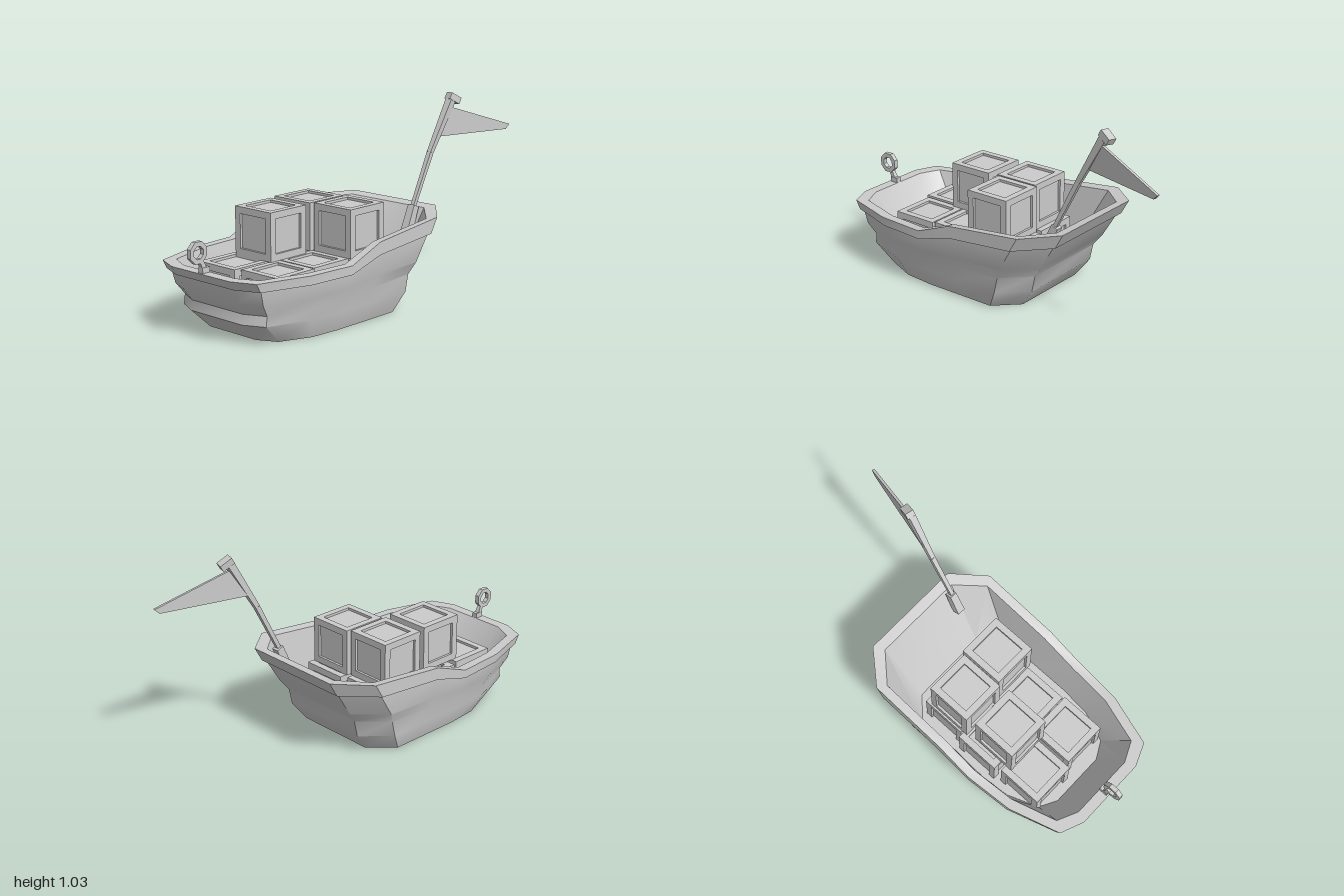
import * as THREE from 'three';
import { toCreasedNormals } from 'three/addons/utils/BufferGeometryUtils.js';

const V = (x, y, z) => new THREE.Vector3(x, y, z);
const material = new THREE.MeshStandardMaterial({ color: 0xcccccc });
const flat = new THREE.MeshStandardMaterial({ color: 0xcccccc, flatShading: true });

function add(parent, name, geometry, mat = flat) {
  const mesh = new THREE.Mesh(geometry, mat);
  mesh.name = name;
  parent.add(mesh);
  return mesh;
}

// One horizontal outline of the hull: half of it, then its mirror image
function outline({ w, back, front, yFront, yBack }) {
  const half = [
    [0.66, back, 1], [1, back + 0.165 * (w / 0.42) ** 1.5, 0.9], [1, 0.16, 0.56], [1, 0.36, 0],
    [0.955, 0.36 + 0.45 * (front - 0.36), 0], [0.76, front - 0.05, 0], [0.47, front, 0],
  ].map(([fx, z, t]) => [fx * w, yFront + (yBack - yFront) * t, z]);
  return [...half, ...half.slice().reverse().map(([x, y, z]) => [-x, y, z])];
}

// Outer skin from keel to gunwale, then back down inside to the floor
function hullGeometry() {
  const rings = [
    [0.335, -0.15, 0.74, 0, 0],
    [0.37, -0.225, 0.845, 0.1, 0.1],
    [0.37, -0.245, 0.838, 0.15, 0.19],
    [0.395, -0.29, 0.88, 0.21, 0.25],
    [0.402, -0.375, 0.9, 0.285, 0.39],
    [0.42, -0.39, 0.915, 0.285, 0.39],
    [0.42, -0.435, 0.94, 0.33, 0.47],
    [0.372, -0.38, 0.885, 0.33, 0.46],
    [0.32, -0.17, 0.74, 0.1, 0.1],
  ].map(([w, back, front, yFront, yBack]) => outline({ w, back, front, yFront, yBack }));
  const n = rings[0].length, last = rings.length - 1;
  const positions = rings.flat(2), index = [];
  const bottom = n * rings.length, floor = bottom + 1;
  positions.push(0, 0, 0.3, 0, 0.1, 0.3);
  for (let i = 0; i < n; i++) {
    const j = (i + 1) % n;
    for (let l = 0; l < last; l++) {
      const a = l * n + i, b = l * n + j;
      index.push(a, a + n, b, b, a + n, b + n);
    }
    index.push(bottom, i, j, floor, last * n + j, last * n + i);
  }
  const g = new THREE.BufferGeometry();
  g.setAttribute('position', new THREE.Float32BufferAttribute(positions, 3));
  g.setIndex(index);
  return toCreasedNormals(g, 0.7);
}

// Crate: recessed core inside two square frames and four posts
const SIZE = 0.245, BAR = 0.035;
function crate(x, y, z) {
  const g = new THREE.Group();
  g.name = 'crate';
  const core = SIZE - 0.026, h = SIZE / 2, k = h - BAR;
  add(g, 'cratePanels', new THREE.BoxGeometry(core, core, core));
  const square = (r, Type) => new Type([[-r, -r], [r, -r], [r, r], [-r, r]].map(p => new THREE.Vector2(...p)));
  const shape = square(h, THREE.Shape);
  shape.holes.push(square(k, THREE.Path));
  const frame = new THREE.ExtrudeGeometry(shape, { depth: BAR, bevelEnabled: false }).rotateX(-Math.PI / 2);
  for (const fy of [-h, k]) add(g, 'crateFrame', frame).position.y = fy;
  const post = new THREE.BoxGeometry(BAR, 2 * k, BAR), c = h - BAR / 2;
  for (const sx of [-c, c]) for (const sz of [-c, c]) add(g, 'cratePost', post).position.set(sx, 0, sz);
  g.position.set(x, y, z);
  return g;
}

// Tapered square bar between two points
function strut(parent, name, a, b, wa, wb) {
  const dir = b.clone().sub(a);
  const g = new THREE.CylinderGeometry(wb * Math.SQRT1_2, wa * Math.SQRT1_2, dir.length(), 4).rotateY(Math.PI / 4);
  const mesh = add(parent, name, g);
  mesh.quaternion.setFromUnitVectors(V(0, 1, 0), dir.normalize());
  mesh.position.copy(a).add(b).multiplyScalar(0.5);
  return mesh;
}

// Leaning pole with its foot, cap and pennant
function flagPole() {
  const g = new THREE.Group();
  g.name = 'flagPole';
  const foot = V(0.207, 0.44, -0.325), mid = V(0.207, 0.73, -0.472), top = V(0.219, 0.99, -0.622);
  strut(g, 'poleFoot', V(0.205, 0.34, -0.29), V(0.205, 0.472, -0.345), 0.045, 0.04);
  strut(g, 'poleLower', foot, mid, 0.02, 0.025);
  strut(g, 'poleUpper', mid, top, 0.025, 0.038);
  const cap = add(g, 'poleCap', new THREE.BoxGeometry(0.045, 0.035, 0.068).rotateY(-0.26));
  cap.quaternion.setFromUnitVectors(V(0, 1, 0), top.clone().sub(mid).normalize());
  cap.position.set(0.221, 0.995, -0.638);
  // Pennant drawn in (distance aft, height), then turned to stream backwards
  const shape = new THREE.Shape([[-0.035, 0.805], [0.43, 0.805], [0.455, 0.83], [0.09, 0.945], [0.055, 0.955]]
    .map(p => new THREE.Vector2(...p)));
  const geo = new THREE.ExtrudeGeometry(shape, { depth: 0.014, bevelEnabled: false }).translate(0, 0, -0.007);
  const flag = add(g, 'pennant', geo);
  flag.rotation.y = Math.PI / 2 - 0.26;
  flag.position.set(0.208, 0, -0.55);
  return g;
}

// Eight-sided mooring ring on a short stem at the bow
function mooringRing() {
  const g = new THREE.Group();
  g.name = 'mooringRing';
  const octagon = (r, Type) => new Type(Array.from({ length: 8 }, (_, i) => {
    const a = (i + 0.5) * Math.PI / 4;
    return new THREE.Vector2(r * Math.cos(a), r * 1.04 * Math.sin(a));
  }));
  const shape = octagon(0.054, THREE.Shape);
  shape.holes.push(octagon(0.031, THREE.Path));
  const ring = add(g, 'ring', new THREE.ExtrudeGeometry(shape, { depth: 0.024, bevelEnabled: false }).translate(0, 0, -0.012));
  ring.rotation.set(0.15, Math.PI / 2, 0, 'YXZ');
  ring.rotation.set(0, Math.PI / 2, 0);
  ring.position.set(-0.005, 0.432, 0.951);
  strut(g, 'ringStem', V(-0.005, 0.335, 0.908), V(-0.005, 0.39, 0.932), 0.026, 0.02);
  add(g, 'ringBase', new THREE.BoxGeometry(0.028, 0.03, 0.045)).position.set(-0.005, 0.342, 0.908);
  return g;
}

export function createModel() {
  const model = new THREE.Group();
  model.name = 'cargoBoat';
  add(model, 'hull', hullGeometry(), material);

  // Lower layer of six crates, upper layer of three
  const lower = [[-0.15, 0.575], [0.115, 0.55], [0.105, 0.298], [-0.167, 0.298], [-0.143, 0.043], [0.13, 0.02]];
  const upper = [[-0.133, 0.075], [0.122, 0.057], [-0.117, 0.365]];
  for (const [x, z] of lower) model.add(crate(x, 0.173, z));
  for (const [x, z] of upper) model.add(crate(x, 0.418, z));

  model.add(flagPole(), mooringRing());
  return model;
}
